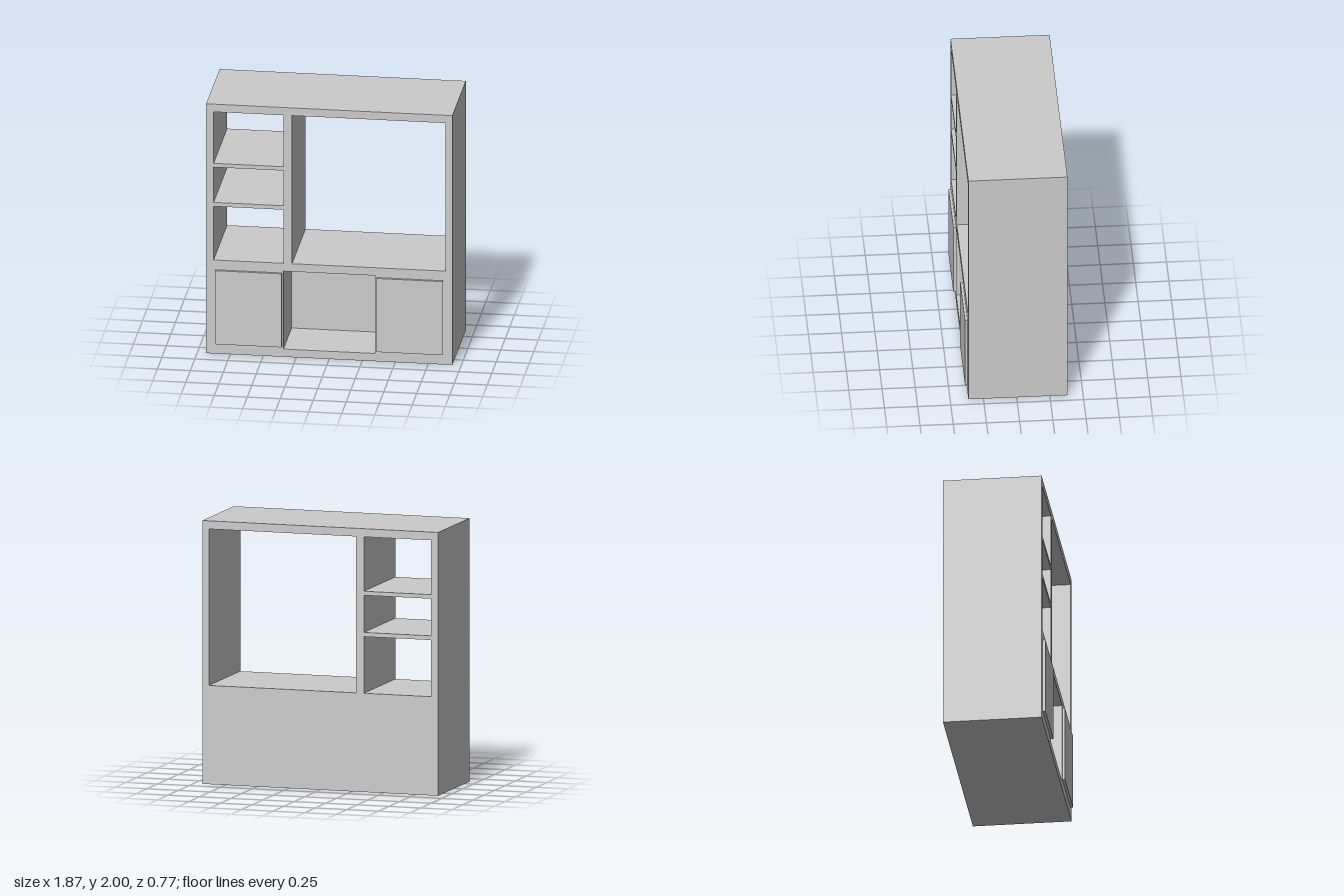
import * as THREE from 'three';

const BACK = -0.383, FRONT = 0.363, NICHE_BACK = -0.09;

export function createModel() {
  const group = new THREE.Group();
  const material = new THREE.MeshStandardMaterial({ color: 0xcccccc, flatShading: true });

  const add = (name, geometry) => {
    const mesh = new THREE.Mesh(geometry, material);
    mesh.name = name;
    group.add(mesh);
  };
  const trace = (path, [x0, x1, y0, y1]) =>
    path.moveTo(x0, y0).lineTo(x1, y0).lineTo(x1, y1).lineTo(x0, y1).closePath();
  const block = (name, [x0, x1, y0, y1], z0, z1) =>
    add(name, new THREE.BoxGeometry(x1 - x0, y1 - y0, z1 - z0)
      .translate((x0 + x1) / 2, (y0 + y1) / 2, (z0 + z1) / 2));

  // Openings as [left, right, bottom, top]
  const niche = [-0.347, 0.347, 0.062, 0.687];
  const openings = [
    [-0.876, -0.345, 0.75, 1.18],  // lower shelf
    [-0.876, -0.345, 1.212, 1.494], // middle shelf
    [-0.876, -0.345, 1.525, 1.938], // upper shelf
    [-0.282, 0.882, 0.75, 1.938],  // large bay
    niche,
  ];

  // Cabinet carcass with its openings cut through
  const outline = new THREE.Shape();
  trace(outline, [-0.933, 0.933, 0, 2]);
  for (const opening of openings) {
    const hole = new THREE.Path();
    trace(hole, opening);
    outline.holes.push(hole);
  }
  add('carcass', new THREE.ExtrudeGeometry(outline, { depth: FRONT - BACK, bevelEnabled: false })
    .translate(0, 0, BACK));

  // Closed back of the lower middle niche
  block('nicheBack', niche, BACK, NICHE_BACK);

  // Doors either side of the niche
  block('rightDoor', [-0.863, -0.36, 0.082, 0.672], FRONT, 0.383);
  block('leftDoor', [0.36, 0.863, 0.082, 0.672], FRONT, 0.383);

  return group;
}
